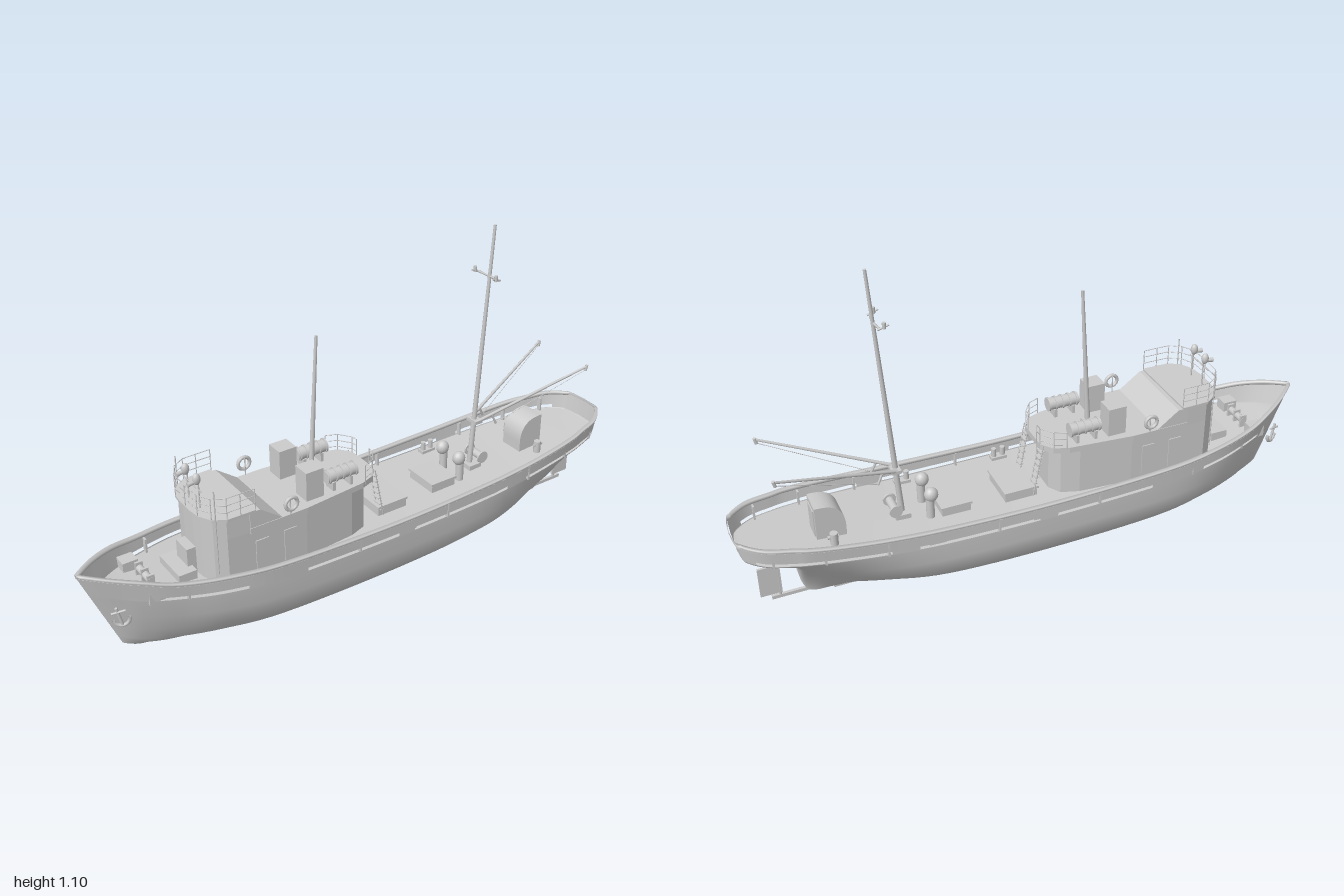
import * as THREE from 'three';

const grey = new THREE.MeshStandardMaterial({ color: 0xcccccc, side: THREE.DoubleSide });
const V = (x, y, z) => new THREE.Vector3(x, y, z);
const SIDES = [1, -1];

// Hull stations, bow to stern: [xTop, xKeel, yKeel, yDeck, ySheer]
const FRAMES = [
  [-1, -.885, .06, .27, .35], [-.93, -.86, .045, .265, .342], [-.85, -.82, .03, .255, .328],
  [-.75, -.74, .022, .246, .305], [-.6, -.6, .018, .234, .29], [-.4, -.4, .01, .22, .275],
  [0, 0, .006, .211, .262], [.35, .35, .005, .213, .268], [.55, .55, .005, .222, .278],
  [.7, .7, .008, .232, .29], [.79, .79, .03, .238, .298], [.84, .83, .172, .241, .302],
  [.92, .91, .198, .246, .308], [.975, .965, .22, .25, .311], [.99, .978, .232, .252, .312],
  [.994, .983, .238, .253, .312]];
// Half widths of the same stations at the heights in LEVELS, the last one at the sheer
const LEVELS = [0, .07, .17, .42, .7, 1];
const WIDTHS = [
  [.002, .002, .003, .003, .003, .004, .004], [.004, .012, .018, .028, .038, .05, .062],
  [.005, .022, .035, .058, .08, .098, .11], [.006, .045, .07, .1, .125, .14, .15],
  [.006, .07, .112, .155, .174, .183, .187], [.006, .09, .142, .188, .198, .202, .206],
  [.006, .09, .15, .195, .202, .206, .207], [.006, .08, .135, .187, .198, .202, .204],
  [.006, .045, .085, .145, .178, .192, .197], [.006, .018, .035, .08, .142, .177, .185],
  [.006, .01, .02, .05, .11, .163, .172], [.006, .028, .055, .095, .13, .153, .158],
  [.006, .025, .05, .085, .11, .128, .135], [.006, .02, .035, .06, .075, .085, .092],
  [.004, .012, .02, .035, .045, .052, .055], [0, 0, 0, 0, 0, 0, 0]];
const SLITS = [[-.8, -.54], [-.37, -.03], [.06, .46], [.56, .95]];

// Smooth value of one table column at a fractional station
function sample(table, col, s) {
  const n = table.length - 1, i = Math.min(Math.floor(s), n - 1), t = s - i;
  const p = k => table[Math.max(0, Math.min(n, k))][col];
  const m0 = (p(i + 1) - p(i - 1)) / 2, m1 = (p(i + 2) - p(i)) / 2;
  const a = t * t, b = a * t;
  return (2 * b - 3 * a + 1) * p(i) + (b - 2 * a + t) * m0 + (3 * a - 2 * b) * p(i + 1) + (b - a) * m1;
}

// Half section at a station: bottom, deck edge, slit edges, sheer
function section(s) {
  const [xT, xK, yK, yD, yS] = [0, 1, 2, 3, 4].map(c => sample(FRAMES, c, s));
  const w = c => Math.max(0, sample(WIDTHS, c, s));
  const at = (y, z) => V(xK + (xT - xK) * (y - yK) / (yS - yK), y, z);
  const pts = LEVELS.map((f, c) => at(yK + (yD - yK) * f, w(c)));
  for (const y of [yD + .004, yD + .015, yS]) pts.push(at(y, w(5) + (w(6) - w(5)) * (y - yD) / (yS - yD)));
  return pts;
}

// Skin over a list of equally long cross-sections
function loft(rows, skip = () => false) {
  const n = rows[0].length, index = [];
  for (let i = 0; i < rows.length - 1; i++) for (let j = 0; j < n - 1; j++) {
    if (skip(rows[i][j].clone().lerp(rows[i + 1][j], .5), j)) continue;
    const a = i * n + j, b = a + n;
    index.push(a, a + 1, b, b, a + 1, b + 1);
  }
  const g = new THREE.BufferGeometry().setFromPoints(rows.flat());
  g.setIndex(index);
  g.computeVertexNormals();
  return g;
}

export function createModel() {
  const ship = new THREE.Group();
  ship.name = 'ship';
  const add = (name, geo, x = 0, y = 0, z = 0) => {
    const m = new THREE.Mesh(geo, grey);
    m.name = name;
    m.position.set(x, y, z);
    ship.add(m);
    return m;
  };
  const box = (name, x0, x1, y0, y1, z0, z1) => add(name, new THREE.BoxGeometry(x1 - x0, y1 - y0, z1 - z0),
    (x0 + x1) / 2, (y0 + y1) / 2, (z0 + z1) / 2);
  const bar = (name, a, b, r = .0015, r2 = r, seg = 6) => {
    const d = b.clone().sub(a), mid = a.clone().lerp(b, .5);
    const m = add(name, new THREE.CylinderGeometry(r2, r, d.length(), seg), mid.x, mid.y, mid.z);
    m.quaternion.setFromUnitVectors(V(0, 1, 0), d.normalize());
    return m;
  };
  // Vertical prism on a mirrored plan of [x, half width] points
  const prism = (name, plan, y0, y1) => {
    const pts = [...plan, ...plan.slice().reverse().map(([x, z]) => [x, -z])];
    const shape = new THREE.Shape(pts.map(([x, z]) => new THREE.Vector2(x, z)));
    const g = new THREE.ExtrudeGeometry(shape, { depth: y1 - y0, bevelEnabled: false });
    return add(name, g.rotateX(-Math.PI / 2), 0, y0, 0);
  };
  // Side profile extruded across the ship
  const crosswise = (name, shape, half) => add(name,
    new THREE.ExtrudeGeometry(shape, { depth: 2 * half, bevelEnabled: false, curveSegments: 16 }), 0, 0, -half);
  const railing = (name, path, y, h, levels = 3) => path.forEach(([x, z], i) => {
    bar(name + 'Post', V(x, y, z), V(x, y + h, z));
    if (i) for (let k = 1; k <= levels; k++) {
      const yy = y + h * k / levels, [px, pz] = path[i - 1];
      bar(name, V(px, yy, pz), V(x, yy, z), .0013);
    }
  });

  // Hull with freeing slits, deck and cap rail
  const steps = 6, sections = [];
  for (let i = 0; i <= (FRAMES.length - 1) * steps; i++) sections.push(section(i / steps));
  const flip = p => V(p.x, p.y, -p.z);
  const last = sections[0].length - 1;
  for (const side of SIDES) {
    const g = loft(sections.map(s => side > 0 ? s : s.map(flip).reverse()), (p, j) =>
      (side > 0 ? j : last - 1 - j) === 6 && SLITS.some(([a, b]) => p.x > a && p.x < b));
    add('hull', g);
    add('capRail', loft(sections.map(s => {
      const p = s[last], zi = Math.max(0, p.z - .012);
      return [[p.z, 0], [p.z + .003, 0], [p.z + .003, .007], [zi, .007], [zi, -.004], [p.z, -.004]]
        .map(([z, dy]) => V(p.x + (p.x > .98 ? .005 : 0), p.y + dy, z * side));
    })));
  }
  add('deck', loft(sections.map(s => [flip(s[5]), V(s[5].x, s[5].y + .002, 0), s[5]])));
  add('keelBottom', loft(sections.map(s => [flip(s[0]), s[0]])));
  box('keel', -.45, .7, 0, .02, -.005, .005);

  // Rudder on its heel bar
  box('heelBar', .68, .9, .018, .03, -.005, .005);
  box('rudder', .865, .935, .038, .147, -.004, .004);
  bar('rudderStock', V(.872, .02, 0), V(.872, .21, 0), .005);

  // Deckhouse, wheelhouse front and boat deck
  const front = [[-.635, .03], [-.63, .07], [-.61, .108], [-.575, .13]];
  prism('deckhouse', [...front, [-.3, .131], [-.12, .113], [-.06, .092], [-.035, .05]], .205, .385);
  prism('wheelhouse', [...front, [-.5, .134]], .385, .452);
  prism('bridgeDeck', [[-.643, .03], [-.638, .072], [-.615, .114], [-.575, .138], [-.48, .14]], .452, .461);
  prism('boatDeck', [[-.5, .139], [-.3, .139], [-.08, .118], [-.03, .1], [0, .06]], .38, .4);
  const slope = [[-.5, .4], [-.5, .455], [-.465, .455], [-.39, .4]].map(p => new THREE.Vector2(...p));
  crosswise('slopedRoof', new THREE.Shape(slope), .137);

  // Bridge equipment forward
  box('bridgeStep', -.71, -.65, .235, .27, -.065, .065);
  box('frontLocker', -.665, -.635, .24, .33, -.035, .035);
  bar('bridgeCrossbar', V(-.615, .53, -.06), V(-.615, .53, .06), .002);

  for (const s of SIDES) {
    // Doors, portholes and railings
    for (const x of [-.46, -.36]) box('door', x - .022, x + .022, .235, .345, s * .131 - .003, s * .131 + .003);
    railing('bridgeRail', [[-.64, 0], [-.637, .07 * s], [-.614, .112 * s], [-.575, .136 * s], [-.53, .137 * s],
      [-.48, .137 * s]], .46, .073);
    railing('boatDeckRail', [[-.07, .115 * s], [-.032, .099 * s], [-.002, .058 * s], [0, .035 * s]], .39, .068);
    bar('bridgeStay', V(-.605, .27, .12 * s), V(-.605, .56, .12 * s), .002);

    // Searchlights above the bridge
    bar('lightPost', V(-.61, .46, .035 * s), V(-.61, .55, .035 * s), .0025);
    add('searchlight', new THREE.SphereGeometry(.013, 12, 8), -.615, .562, .035 * s).scale.set(1, 1.5, .9);
    bar('horn', V(-.645, .552, .035 * s), V(-.61, .555, .035 * s), .008, .004, 10);

    // Life rings, lockers and raft canisters
    add('lifeRing', new THREE.TorusGeometry(.021, .006, 8, 20), -.36, .44, .143 * s);
    bar('lifeRingBracket', V(-.36, .4, .136 * s), V(-.36, .462, .136 * s), .002);
    box('ventCasing', -.285, -.222, .4, .5, s * .078 - .031, s * .078 + .031);
    const raft = V(-.2, .445, .085 * s), raftEnd = V(-.093, .445, .085 * s);
    bar('raftCanister', raft, raftEnd, .021, .021, 16);
    for (const t of [.04, .27, .5, .73, .96]) {
      const c = raft.clone().lerp(raftEnd, t);
      bar('raftBand', c, c.clone().add(V(.006, 0, 0)), .024, .024, 16);
    }
    for (const x of [-.18, -.115]) box('raftCradle', x - .005, x + .005, .4, .43, s * .085 - .02, s * .085 + .02);

    // Ladders from the boat deck
    for (const dz of [-.016, .016]) bar('ladderRail', V(.03, .215, s * .06 + dz), V(-.005, .4, s * .06 + dz), .002);
    for (let k = 1; k < 8; k++) box('ladderStep', .022 - k * .0044, .036 - k * .0044, .213 + k * .023,
      .216 + k * .023, s * .06 - .016, s * .06 + .016);

    // Foredeck lockers, anchors and rail fittings
    box('foredeckLocker', -.83, -.78, .245, .285, s * .09 - .023, s * .09 + .023);
    bar('anchorShank', V(-.915, .24, .06 * s), V(-.9, .175, .063 * s), .005);
    const fluke = add('anchorFluke', new THREE.TorusGeometry(.024, .006, 6, 12, Math.PI), -.902, .198, .062 * s);
    fluke.rotation.set(0, -.45 * s, Math.PI + .25);
    bar('anchorStock', V(-.93, .222, .056 * s), V(-.89, .23, .072 * s), .004);
    for (const [x, z, y] of [[.05, .18, .21], [.4, .172, .213]]) {
      box('bollardBase', x - .028, x + .028, y, y + .012, s * z - .014, s * z + .014);
      for (const d of [-.016, .016]) bar('bollard', V(x + d, y, s * z), V(x + d, y + .042, s * z), .009, .009, 10);
    }
    for (const [x, z, y] of [[-.72, .143, .243], [-.5, .19, .226], [-.15, .2, .215], [.2, .2, .211],
      [.56, .188, .222], [.75, .165, .235], [.9, .13, .245]])
      box('bulwarkBrace', x - .003, x + .003, y, y + .05, s * z - .008, s * z + .008);

    // Cowl vents by the mast
    bar('ventPipe', V(.375, .21, .045 * s), V(.375, .29, .045 * s), .014, .014, 12);
    add('ventCowl', new THREE.SphereGeometry(.021, 14, 10), .37, .3, .045 * s).scale.set(1.1, 1.2, 1);
    bar('sternBitt', V(.7, .23, .08 * s), V(.7, .275, .08 * s), .013, .013, 10);
    bar('sternBittBar', V(.685, .262, .08 * s), V(.72, .262, .08 * s), .006);

    // Cargo booms with their lines
    bar('boom', V(.468, .4, .018 * s), V(.865, .54, .122 * s), .006, .004, 8);
    bar('boomLine', V(.535, .383, .036 * s), V(.862, .527, .121 * s), .001);
    bar('boomTackle', V(.52, .415, .033 * s), V(.537, .38, .036 * s), .004);
    bar('boomTip', V(.862, .525, .121 * s), V(.867, .545, .122 * s), .006);

    // Crosstree lamps
    bar('crosstreeArm', V(.503, .922, 0), V(.497, .925, .05 * s), .004);
    bar('mastLamp', V(.485, .925, .052 * s), V(.485, .945, .052 * s), .006, .006, 10);
    bar('lampBracket', V(.505, .923, .05 * s), V(.47, .935, .052 * s), .003);
  }

  // Windlass
  bar('windlassDrum', V(-.79, .275, -.045), V(-.79, .275, .045), .012, .012, 12);
  for (const z of [-.04, 0, .04]) box('windlassFrame', -.802, -.778, .245, .295, z - .004, z + .004);

  // Hatches
  for (const [x0, x1, h] of [[.01, .13, .075], [.24, .345, .066]]) {
    box('hatchCoaming', x0 + .004, x1 - .004, .205, .24, -h + .004, h - .004);
    box('hatchCover', x0, x1, .24, .248, -h, h);
  }

  // Masts and mast winch
  bar('aftMast', V(-.2, .4, 0), V(-.17, .89, 0), .009, .005, 10);
  box('mastStep', -.215, -.18, .4, .412, -.014, .014);
  bar('mainMast', V(.455, .21, 0), V(.515, 1.095, 0), .01, .005, 10);
  box('mastFoot', .435, .485, .21, .235, -.03, .03);
  box('boomBracket', .455, .485, .392, .404, -.025, .025);
  bar('winchDrum', V(.485, .26, -.035), V(.485, .26, .035), .014, .014, 12);
  for (const z of [-.035, .035]) bar('winchFlange', V(.485, .26, z - .003), V(.485, .26, z + .003), .022, .022, 14);

  // Rounded companionway hood at the stern
  const hood = new THREE.Shape();
  hood.moveTo(.65, .22);
  hood.lineTo(.745, .22);
  hood.lineTo(.745, .352);
  hood.lineTo(.73, .352);
  hood.quadraticCurveTo(.652, .35, .65, .27);
  crosswise('companionHood', hood, .044);
  box('companionDoor', .744, .748, .24, .335, -.03, .03);
  return ship;
}
